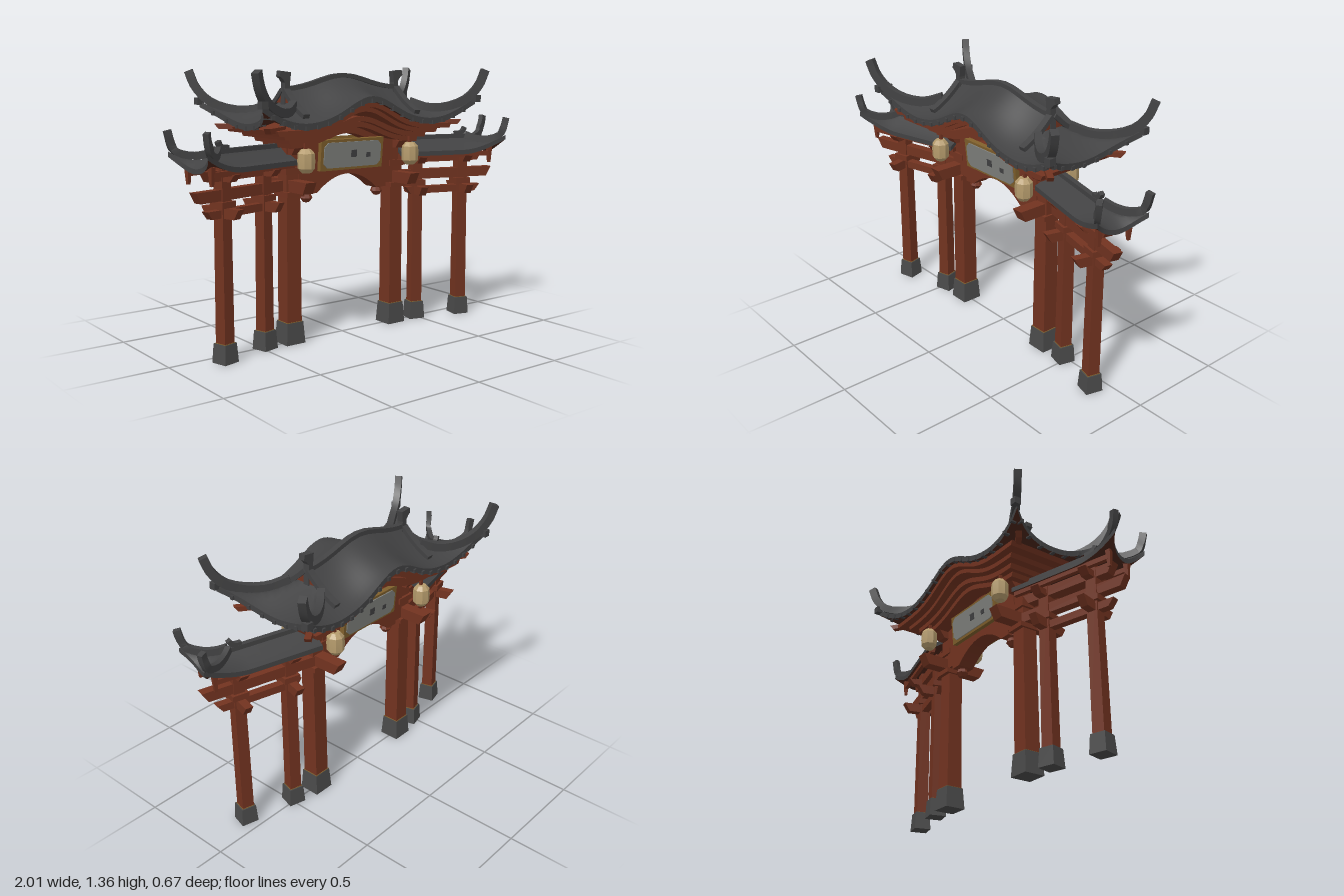
import * as THREE from 'three';
import { toCreasedNormals } from 'three/addons/utils/BufferGeometryUtils.js';

const mat = (name, color) => Object.assign(new THREE.MeshStandardMaterial({ color }), { name });
const V = (x, y, z) => new THREE.Vector3(x, y, z);
const clamp01 = v => Math.min(1, Math.max(0, v));
const range = (a, b, n) => Array.from({ length: n + 1 }, (_, i) => a + (b - a) * i / n);

export function createModel() {
  const M = {
    tile: mat('dark roof tile', 0x424243), stone: mat('grey stone', 0x4a4a4a),
    wood: mat('red wood', 0x723320), shade: mat('dark brown wood', 0x4a251a),
    gold: mat('dull gold', 0x80602c), panel: mat('pale grey panel', 0x80817d),
    paper: mat('lantern paper', 0xb59b6c),
  };
  const model = new THREE.Group();
  model.name = 'gate';

  const add = (parent, name, geo, m, x = 0, y = 0, z = 0) => {
    const mesh = new THREE.Mesh(geo, m);
    mesh.name = name;
    mesh.position.set(x, y, z);
    parent.add(mesh);
    return mesh;
  };
  const box = (p, name, w, h, d, m, x, y, z) => add(p, name, new THREE.BoxGeometry(w, h, d), m, x, y, z);
  const extrude = (pts, depth) => {
    const g = new THREE.ExtrudeGeometry(new THREE.Shape(pts.map(p => new THREE.Vector2(...p))), { depth, bevelEnabled: false });
    return g.translate(0, 0, -depth / 2);
  };
  // Beam along x whose ends slope inwards towards the bottom
  const beamGeo = (len, h, d, cut = 0.03) => extrude(
    [[-len / 2 + cut, -h / 2], [len / 2 - cut, -h / 2], [len / 2, h / 2], [-len / 2, h / 2]], d);
  // Square tapering post standing on y = 0
  const postGeo = (wBottom, wTop, h) => {
    const g = new THREE.CylinderGeometry(wTop * Math.SQRT1_2, wBottom * Math.SQRT1_2, h, 4, 1).toNonIndexed();
    g.rotateY(Math.PI / 4).translate(0, h / 2, 0).computeVertexNormals();
    return g;
  };
  const flat = (pos, index) => {
    const g = new THREE.BufferGeometry();
    g.setAttribute('position', new THREE.Float32BufferAttribute(pos, 3));
    g.setIndex(index);
    return g.toNonIndexed();
  };

  // Rectangular section swept along a curve
  function rib(p, name, pts, w, h) {
    const curve = new THREE.CatmullRomCurve3(pts), n = 12, pos = [], idx = [];
    for (let k = 0; k <= n; k++) {
      const c = curve.getPoint(k / n), T = curve.getTangent(k / n);
      const S = T.clone().cross(V(0, 1, 0)).normalize(), N = S.clone().cross(T);
      for (const [a, b] of [[-1, 0], [1, 0], [1, 1], [-1, 1]])
        pos.push(...c.clone().addScaledVector(S, a * w / 2).addScaledVector(N, b * h).toArray());
      for (let j = 0; j < 4 && k < n; j++) {
        const a = k * 4 + j, b = k * 4 + (j + 1) % 4;
        idx.push(a, a + 4, b + 4, a, b + 4, b);
      }
    }
    const e = n * 4;
    idx.push(0, 1, 2, 0, 2, 3, e, e + 2, e + 1, e, e + 3, e + 2);
    return add(p, name, toCreasedNormals(flat(pos, idx), 0.5), M.tile);
  }

  // Curved roof sheet with tiled top, edge band and dark underside
  function roofSheet(p, name, P, ss, ts, thick) {
    const pos = [], top = [], under = [], nt = ts.length, N = ss.length * nt;
    for (const drop of [0, thick])
      for (const s of ss) for (const t of ts) { const v = P(s, t); pos.push(v.x, v.y - drop, v.z); }
    const id = (i, j) => i * nt + j, I = ss.length - 1, J = nt - 1;
    for (let i = 0; i < I; i++) for (let j = 0; j < J; j++) {
      const a = id(i, j), b = id(i, j + 1), c = id(i + 1, j), d = id(i + 1, j + 1);
      top.push(a, b, c, b, d, c);
      under.push(a + N, c + N, b + N, b + N, c + N, d + N);
    }
    const loop = [];
    for (let i = 0; i < I; i++) loop.push(id(i, J));
    for (let j = J; j > 0; j--) loop.push(id(I, j));
    for (let i = I; i > 0; i--) loop.push(id(i, 0));
    for (let j = 0; j < J; j++) loop.push(id(0, j));
    loop.forEach((a, k) => {
      const b = loop[(k + 1) % loop.length];
      top.push(a + N, b + N, b, a + N, b, a);
    });
    add(p, name, toCreasedNormals(flat(pos, top), 0.6), M.tile);
    add(p, name + 'Underside', toCreasedNormals(flat(pos, under), 0.6), M.shade);
  }

  function column(p, name, x, z, w, baseW, baseH, top) {
    add(p, name + 'Base', postGeo(baseW, baseW * 0.87, baseH), M.stone, x, 0, z);
    box(p, name + 'Trim', w * 1.14, 0.003, w * 1.14, M.gold, x, baseH + 0.001, z);
    add(p, name, postGeo(w * 1.06, w * 0.96, top - baseH), M.wood, x, baseH, z);
  }

  // ---- Main roof: waved hip-and-gable ----
  const GABLE = 0.6;
  const hump = x => Math.exp(-((x / 0.2) ** 2));
  const mainRoof = (s, t) => {
    const as = Math.abs(s), at = Math.abs(t);
    const x = s * (0.57 + 0.085 * at ** 3), z = t * (0.25 + 0.035 * as ** 6);
    let y = 1.108 + 0.122 * hump(x) + (0.142 - 0.055 * hump(x)) * (1 - at) ** 1.8;
    if (as > GABLE) y = Math.min(y, 1.105 + 0.095 * ((1 - as) / 0.4) ** 1.2);
    return V(x, y + 0.1 * clamp01((as - 0.55) / 0.45) ** 2 * at * at, z);
  };
  const roof = new THREE.Group();
  roof.name = 'mainRoof';
  model.add(roof);
  roofSheet(roof, 'mainRoofTiles', mainRoof,
    [...range(-1, -GABLE - 0.001, 10), ...range(-GABLE, GABLE, 28), ...range(GABLE + 0.001, 1, 10)], range(-1, 1, 20), 0.03);
  rib(roof, 'mainRidge', range(-0.62, 0.62, 12).map(s => mainRoof(Math.max(-GABLE, Math.min(GABLE, s)), 0).setX(s * 0.57)), 0.03, 0.022);
  for (const a of [-1, 1]) {
    // Ridge finial and red gable face
    add(roof, 'ridgeFinial', extrude([[0.32, 1.19], [0.36, 1.19], [0.355, 1.295], [0.37, 1.315], [0.385, 1.325], [0.38, 1.352],
      [0.32, 1.345], [0.327, 1.29]].map(([x, y]) => [a * x, y]), 0.034), M.tile);
    const gable = add(roof, 'gableFace', extrude([[-0.085, 1.198], [0.085, 1.198], [0, 1.25]], 0.008), M.wood, a * 0.351);
    gable.rotation.y = Math.PI / 2;
    for (const b of [-1, 1]) {
      rib(roof, 'gableRib', range(0, 0.7, 5).map(t => mainRoof(a * GABLE, b * t).setX(a * 0.346)), 0.036, 0.022);
      const hip = [[0.625, 0.38], [0.74, 0.62], [0.86, 0.84], [0.97, 0.97]].map(([s, t]) => mainRoof(a * s, b * t));
      rib(roof, 'hipHorn', [...hip, V(a * 0.688, 1.265, b * 0.305), V(a * 0.715, 1.345, b * 0.322)], 0.036, 0.042);
      box(roof, 'hornKnob', 0.035, 0.035, 0.035, M.tile, a * 0.655, 1.205, b * 0.293);
    }
  }
  // Tile ends along the eaves
  for (const b of [-1, 1]) {
    for (const s of range(-0.9, 0.9, 18)) {
      const e = mainRoof(s, b);
      box(roof, 'eaveTile', 0.018, 0.02, 0.03, M.tile, e.x, e.y - 0.022, e.z - b * 0.007);
    }
    for (const t of range(-0.8, 0.8, 6)) {
      const e = mainRoof(b, t);
      box(roof, 'eaveTile', 0.03, 0.02, 0.018, M.tile, e.x - b * 0.009, e.y - 0.022, e.z);
    }
  }

  // ---- Stepped, waved beams under the main roof: top, height, hump, half width, half depth ----
  const layers = [[1.08, 0.024, 0.12, 0.54, 0.23], [1.057, 0.024, 0.12, 0.48, 0.19], [1.034, 0.026, 0.095, 0.43, 0.155],
    [1.01, 0.026, 0.09, 0.4, 0.125], [1.009, 0.06, 0.09, 0.36, 0.044]];
  for (const [y, h, amp, xh, zh] of layers) {
    const xs = range(-xh, xh, 28);
    add(model, 'steppedBeam', extrude([...xs.map(x => [x * 0.98, y - h + amp * hump(x)]),
      ...xs.reverse().map(x => [x, y + amp * hump(x)])], 2 * zh), M.wood);
  }
  for (const a of [-1, 1]) for (const b of [-1, 1]) {
    const arm = add(model, 'cornerArm', beamGeo(0.2, 0.025, 0.03, 0.02), M.wood, a * 0.52, 1.083, b * 0.18);
    arm.rotation.y = -a * b * 0.6;
  }

  // ---- Central panel with arched underside ----
  const arch = range(-1, 1, 16).map(u => [0.19 * u, 0.835 - 0.085 * u * u]);
  add(model, 'archPanel', extrude([[-0.3, 0.77], [-0.25, 0.77], [-0.25, 0.75], ...arch,
    [0.25, 0.75], [0.25, 0.77], [0.3, 0.77], [0.3, 1.0], [-0.3, 1.0]], 0.09), M.wood);
  for (const b of [-1, 1]) {
    const sign = new THREE.Group();
    sign.name = 'plaque';
    sign.position.set(0, 0.938, b * 0.075);
    sign.rotation.set(0.1, b < 0 ? Math.PI : 0, 0, 'YXZ');
    model.add(sign);
    box(sign, 'plaqueFrame', 0.39, 0.155, 0.025, M.gold, 0, 0, 0);
    add(sign, 'plaquePanel', extrude([[-0.155, -0.064], [0.155, -0.064], [0.178, -0.042], [0.178, 0.042],
      [0.155, 0.064], [-0.155, 0.064], [-0.178, 0.042], [-0.178, -0.042]], 0.008), M.panel, 0, 0, 0.014);
    box(sign, 'plaqueStud', 0.034, 0.036, 0.006, M.tile, 0.004, 0.004, 0.018);
    box(sign, 'plaqueStud', 0.026, 0.024, 0.006, M.tile, 0.097, -0.007, 0.018);
  }

  // ---- Main columns, cross arms, pendants and lanterns ----
  const lathe = pts => toCreasedNormals(new THREE.LatheGeometry(pts.map(p => new THREE.Vector2(...p)), 8), 0.2);
  const lanternGeo = lathe([[0, -0.057], [0.024, -0.057], [0.042, -0.036], [0.044, 0], [0.042, 0.036], [0.024, 0.057], [0, 0.057]]);
  const pendantGeo = lathe([[0, 0], [0.016, 0.004], [0.032, 0.025], [0.024, 0.045], [0.034, 0.052], [0.034, 0.08], [0, 0.08]]);
  for (const a of [-1, 1]) {
    const x = a * 0.327;
    column(model, 'mainColumn', x, 0, 0.08, 0.11, 0.11, 1.0);
    box(model, 'columnCollar', 0.105, 0.03, 0.105, M.wood, x, 0.87, 0);
    box(model, 'columnBlock', 0.1, 0.025, 0.12, M.wood, x, 0.755, 0);
    add(model, 'mainCrossArm', beamGeo(0.385, 0.058, 0.06), M.wood, x, 0.797, 0).rotation.y = Math.PI / 2;
    add(model, 'upperCrossArm', beamGeo(0.2, 0.04, 0.06), M.wood, x, 0.97, 0).rotation.y = Math.PI / 2;
    add(model, 'pendant', pendantGeo, M.wood, a * 0.225, 0.7, 0);
    for (const b of [-1, 1]) {
      add(model, 'lantern', lanternGeo, M.paper, x, 0.927, b * 0.15);
      box(model, 'lanternHanger', 0.014, 0.05, 0.014, M.wood, x, 1.005, b * 0.145);
    }
  }

  // ---- Side wings, angled forward; local +x points outward ----
  const wingRoof = (u, t) => {
    const at = Math.abs(t), f = clamp01((u - 0.1) / 0.2);
    const end = u > 0 ? 1 + 0.15 * at ** 3 * f : 1;
    const lift = 0.075 * f * f * at * at;
    let y = 0.925 + 0.062 * (1 - at) ** 1.2;
    if (u > 0.158) y = Math.min(y, 0.925 + 0.062 * (0.3 - u) / 0.142);
    return V(u * end, y + lift, t * (0.105 + 0.022 * f ** 3));
  };
  for (const a of [-1, 1]) {
    const w = new THREE.Group();
    w.name = a > 0 ? 'leftWing' : 'rightWing';
    w.position.set(a * 0.617, 0, 0.05);
    w.rotation.y = a > 0 ? -0.26 : Math.PI + 0.26;
    model.add(w);
    roofSheet(w, 'wingRoofTiles', wingRoof, [...range(-0.27, 0.1, 5), ...range(0.12, 0.3, 10)], range(-1, 1, 12), 0.024);
    rib(w, 'wingRidge', range(-0.27, 0.165, 4).map(u => V(u, 0.982, 0)), 0.026, 0.022);
    rib(w, 'wingRidgeHook', [V(0.1, 0.998, 0), V(0.135, 1.0, 0), V(0.16, 1.015, 0), V(0.17, 1.035, 0)], 0.024, 0.022);
    for (const b of [-1, 1]) {
      const hip = [[0.16, 0.03], [0.2, 0.32], [0.25, 0.66], [0.292, 0.95]].map(([u, t]) => wingRoof(u, b * t));
      rib(w, 'wingHorn', [...hip, V(0.35, 1.035, b * 0.127), V(0.362, 1.09, b * 0.133)], 0.026, 0.034);
      add(w, 'eavePendant', postGeo(0.014, 0.026, 0.085), M.wood, 0.275, 0.85, b * 0.075);
      box(w, 'eaveBeam', 0.54, 0.025, 0.022, M.wood, 0, 0.9, b * 0.075);
    }
    add(w, 'wingTopBeam', beamGeo(0.52, 0.05, 0.05), M.wood, 0, 0.885, 0);
    add(w, 'wingUpperBar', beamGeo(0.62, 0.052, 0.045), M.wood, 0.01, 0.795, 0);
    add(w, 'wingLowerBar', beamGeo(0.45, 0.038, 0.04), M.wood, 0.025, 0.708, 0);
    for (const u of [-0.137, 0.137]) {
      column(w, 'wingColumn', u, 0, 0.058, 0.088, 0.093, 0.93);
      box(w, 'wingColumnBlock', 0.085, 0.03, 0.085, M.wood, u, 0.75, 0);
      add(w, 'wingLowerCrossArm', beamGeo(0.24, 0.048, 0.04), M.wood, u, 0.711, 0).rotation.y = Math.PI / 2;
      add(w, 'wingTopCrossArm', beamGeo(0.2, 0.035, 0.045), M.wood, u, 0.875, 0).rotation.y = Math.PI / 2;
    }
  }
  return model;
}
